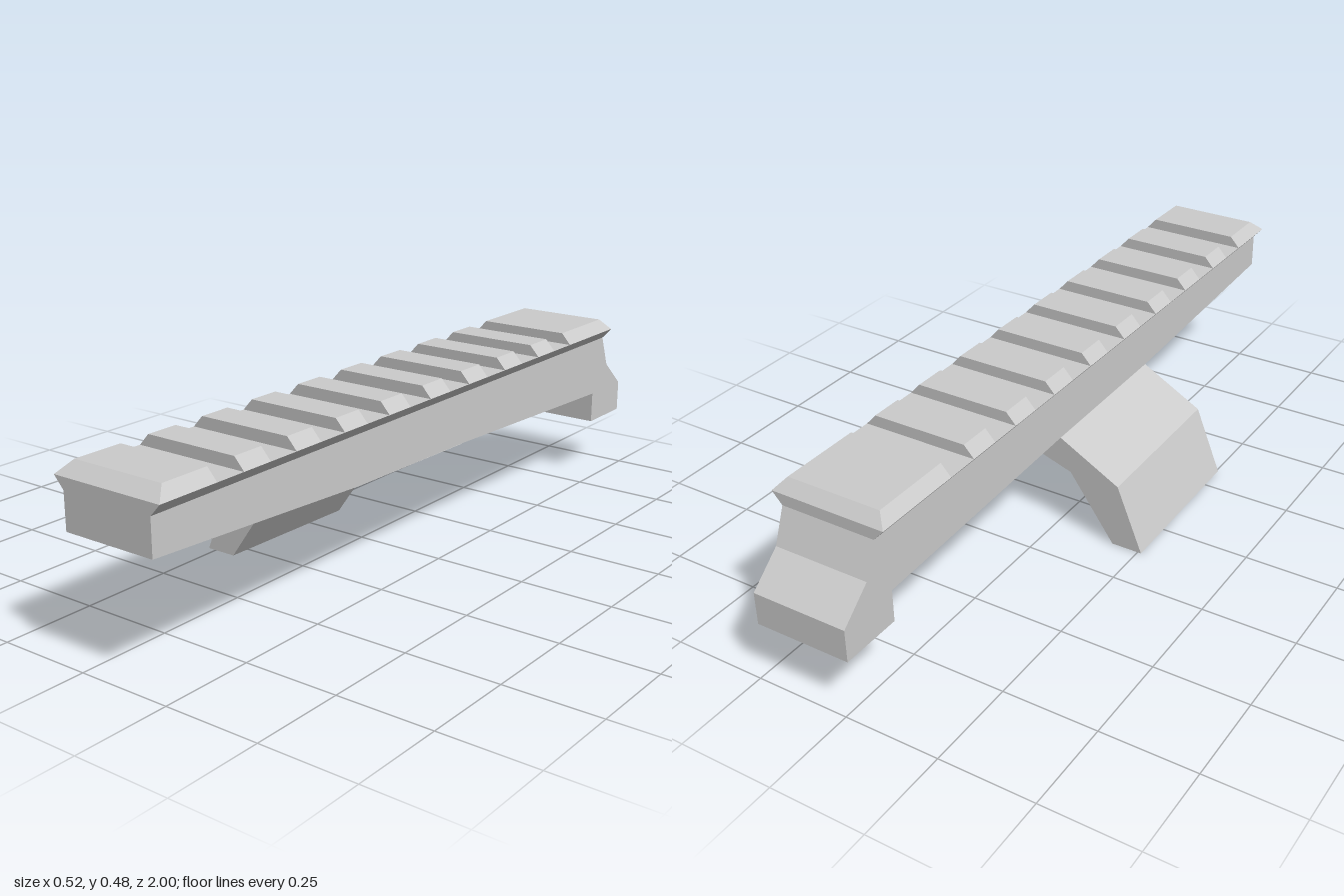
import * as THREE from 'three';

const CX = 0.105;            // centre line of the rail
const HALF = 0.127;          // half width of body and rail top
const WIDE = 0.154;          // half width at the rail's edge
const Y_LOW = 0.417, Y_EDGE = 0.447, Y_TOP = 0.477;
const Z_FRONT = 1, Z_BACK = -0.88;

const material = new THREE.MeshStandardMaterial({ color: 0xcccccc, flatShading: true });

function extrude(points, depth) {
  const shape = new THREE.Shape(points.map(([x, y]) => new THREE.Vector2(x, y)));
  return new THREE.ExtrudeGeometry(shape, { depth, bevelEnabled: false });
}

function part(name, geometry) {
  const mesh = new THREE.Mesh(geometry, material);
  mesh.name = name;
  return mesh;
}

// Raised block with sloped sides; front and back insets slope its ends
function tooth(zFront, zBack, insetFront = 0, insetBack = 0) {
  const geometry = new THREE.BoxGeometry(1, 1, 1).toNonIndexed();
  const p = geometry.attributes.position;
  for (let i = 0; i < p.count; i++) {
    const top = p.getY(i) > 0;
    const front = p.getZ(i) > 0;
    p.setXYZ(
      i,
      CX + Math.sign(p.getX(i)) * (top ? HALF : WIDE),
      top ? Y_TOP : Y_EDGE,
      front ? zFront - (top ? insetFront : 0) : zBack + (top ? insetBack : 0),
    );
  }
  geometry.computeVertexNormals();
  return geometry;
}

export function createModel() {
  const model = new THREE.Group();
  model.name = 'accessoryRail';

  // Body: side profile (z, y) with a hooked rear foot, swept across the width
  const profile = [
    [Z_FRONT, Y_LOW], [Z_FRONT, 0.324], [0.317, 0.287], [-0.125, 0.28],
    [-0.835, 0.254], [-0.835, 0.168], [-1, 0.168], [-1, 0.254],
    [-0.915, 0.328], [Z_BACK, Y_LOW],
  ];
  const body = extrude(profile.map(([z, y]) => [-z, y]), HALF * 2);
  body.rotateY(Math.PI / 2).translate(CX - HALF, 0, 0);
  model.add(part('body', body));

  // Rail base flaring out to the edge
  const base = extrude([
    [CX - HALF, Y_LOW], [CX + HALF, Y_LOW], [CX + WIDE, Y_EDGE], [CX - WIDE, Y_EDGE],
  ], Z_FRONT - Z_BACK);
  base.translate(0, 0, Z_BACK);
  model.add(part('railBase', base));

  // Teeth: long bevelled end blocks and eight even ones between
  const teeth = new THREE.Group();
  teeth.name = 'railTeeth';
  teeth.add(part('frontTooth', tooth(Z_FRONT, 0.833, 0.035, 0)));
  for (let i = 0; i < 8; i++) {
    const z = 0.75 - i * 0.1727;
    teeth.add(part('tooth', tooth(z, z - 0.086)));
  }
  teeth.add(part('backTooth', tooth(-0.634, Z_BACK, 0, 0.027)));
  model.add(teeth);

  // Bent side arm, tipped slightly to follow the underside
  const arm = extrude([
    [-0.022, 0.277], [-0.19, 0.182], [-0.26, 0], [-0.175, 0], [-0.05, 0.182], [0.232, 0.277],
  ], 0.445);
  arm.translate(0, 0, -0.445);
  const armMesh = part('sideArm', arm);
  armMesh.rotation.x = -0.018;
  armMesh.position.set(0, 0.01, 0.32);
  model.add(armMesh);

  return model;
}
